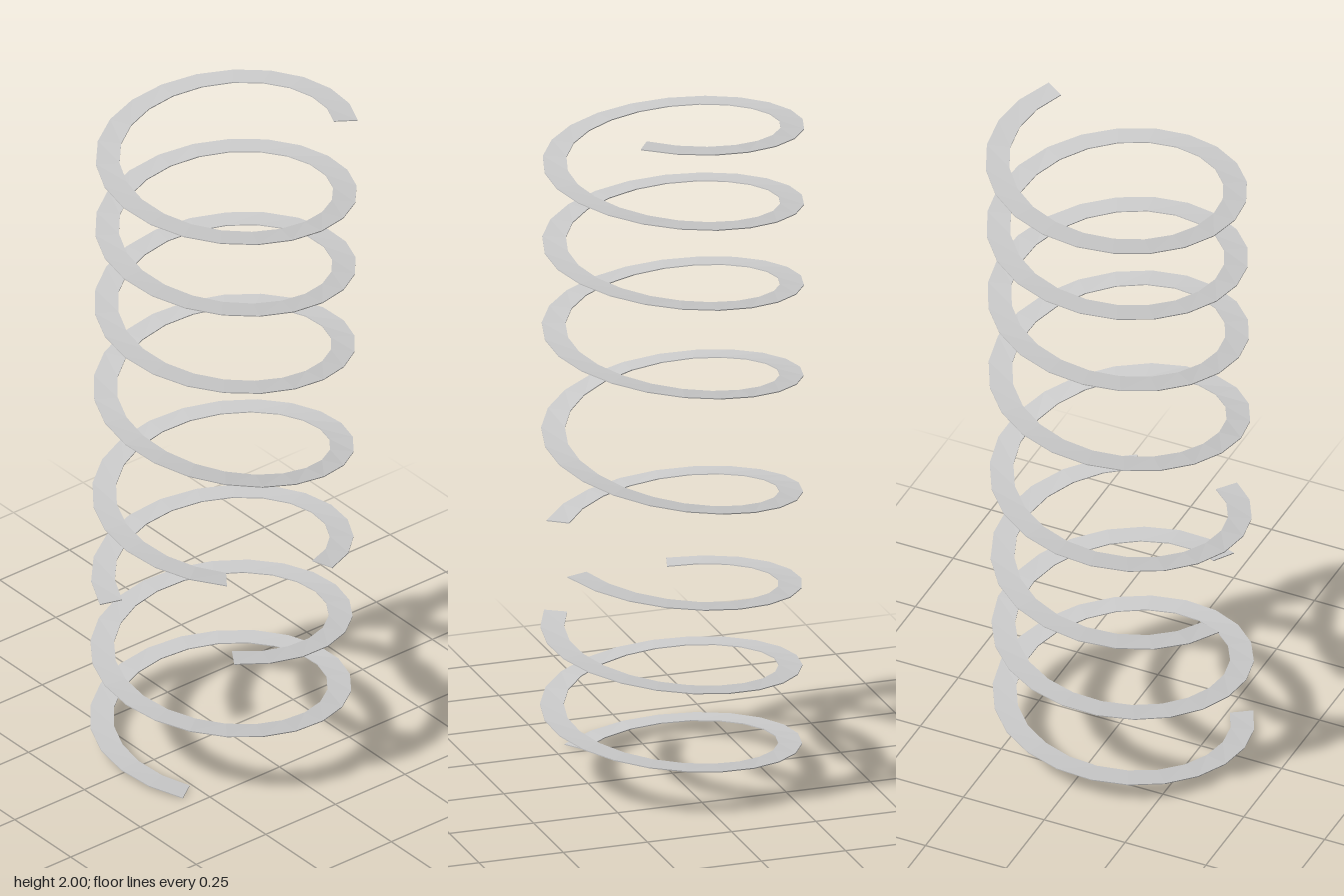
import * as THREE from 'three';

const INNER = 0.301, OUTER = 0.3675, THICKNESS = 0.003;
const STEP = 0.182; // facet length, in quarter turns

// Height at each quarter turn (front, left, back, right ...), beginning one quarter before the front
const heights = [
  -0.03,
  0.025, 0.077, 0.128, 0.188,
  0.251, 0.307, 0.362, 0.428,
  0.492, 0.552, 0.613, 0.681,
  0.757, 0.827, 0.902, 1.003,
  1.103, 1.177, 1.247, 1.322,
  1.387, 1.453, 1.513, 1.578,
  1.642, 1.698, 1.753, 1.817,
  1.873, 1.927, 1.979, 2.023,
];
const rise = new THREE.SplineCurve(heights.map((y, i) => new THREE.Vector2(i - 1, y)));
const heightAt = (q) => rise.getPoint((q + 1) / (heights.length - 1)).y;

// Thin, radially level strip wound from quarter turn q0 to q1
function ribbon(q0, q1) {
  const h = THICKNESS / 2;
  const section = [[INNER, -h], [OUTER, -h], [OUTER, h], [INNER, h]]; // radius, height offset
  const n = Math.round((q1 - q0) / STEP);
  const positions = [], index = [];
  for (let i = 0; i <= n; i++) {
    const q = q0 + (q1 - q0) * i / n;
    const a = q * Math.PI / 2;
    const y = heightAt(q);
    const lean = 0.012 * (1 - y); // the axis leans slightly backwards
    for (const [r, dy] of section) positions.push(-Math.sin(a) * r, y + dy, Math.cos(a) * r + lean);
    if (i === n) continue;
    for (let j = 0; j < 4; j++) {
      const a0 = i * 4 + j, b0 = i * 4 + (j + 1) % 4;
      index.push(a0, b0, a0 + 4, b0, b0 + 4, a0 + 4);
    }
  }
  // end caps
  const e = n * 4;
  index.push(0, 2, 1, 0, 3, 2, e, e + 1, e + 2, e, e + 2, e + 3);

  const geometry = new THREE.BufferGeometry();
  geometry.setAttribute('position', new THREE.Float32BufferAttribute(positions, 3));
  geometry.setIndex(index);
  const flat = geometry.toNonIndexed();
  flat.computeVertexNormals();
  return flat;
}

export function createModel() {
  const group = new THREE.Group();
  group.name = 'brokenSpiral';
  const material = new THREE.MeshStandardMaterial({ color: 0xcccccc, flatShading: true, side: THREE.DoubleSide });

  // Three lengths of the same helix, with gaps between them
  const lastBack = heights.length - 3;
  const pieces = [
    ['lowerCoil', -0.385, 7.37],
    ['middleCoil', 8.19, 10.8],
    ['upperCoil', 11.41, lastBack + 0.377],
  ];
  for (const [name, q0, q1] of pieces) {
    const mesh = new THREE.Mesh(ribbon(q0, q1), material);
    mesh.name = name;
    group.add(mesh);
  }
  return group;
}
